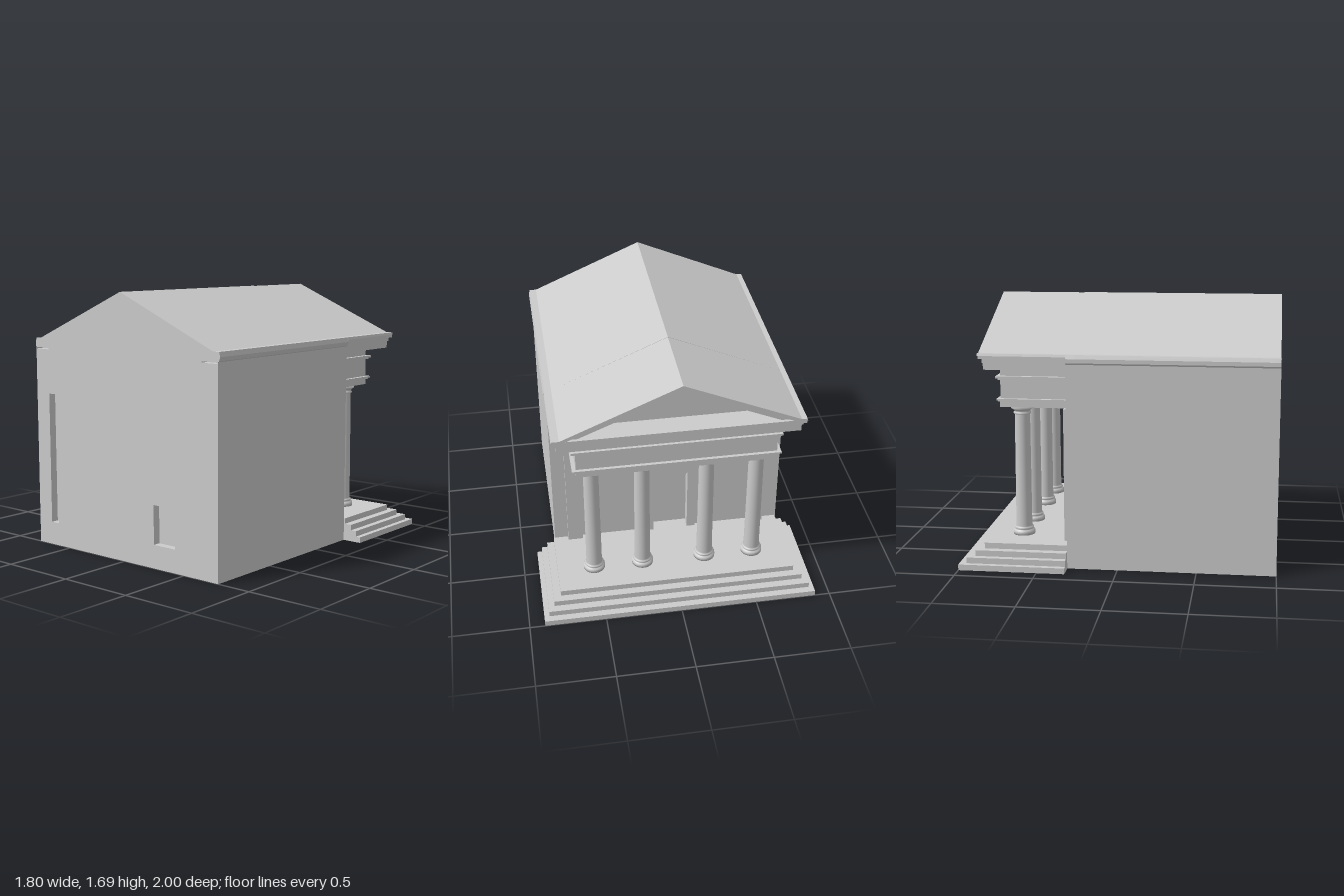
import * as THREE from 'three';

const stone = new THREE.MeshStandardMaterial({ color: 0xcccccc, side: THREE.DoubleSide });

const pathOf = (points, Type = THREE.Shape) => new Type(points.map(([x, y]) => new THREE.Vector2(x, y)));
const rect = (x0, x1, y0, y1) => [[x0, y0], [x1, y0], [x1, y1], [x0, y1]];

export function createModel() {
  const model = new THREE.Group();
  model.name = 'temple';

  function add(name, geometry, parent = model) {
    const mesh = new THREE.Mesh(geometry, stone);
    mesh.name = name;
    parent.add(mesh);
    return mesh;
  }
  // Box given by its limits
  function box(name, x0, x1, y0, y1, z0, z1, parent) {
    const mesh = add(name, new THREE.BoxGeometry(x1 - x0, y1 - y0, z1 - z0), parent);
    mesh.position.set((x0 + x1) / 2, (y0 + y1) / 2, (z0 + z1) / 2);
    return mesh;
  }
  // Outline in x and y, extruded from z0 to z1
  function slab(name, outline, z0, z1, holes = []) {
    const shape = pathOf(outline);
    holes.forEach((h) => shape.holes.push(pathOf(h, THREE.Path)));
    const geometry = new THREE.ExtrudeGeometry(shape, { depth: z1 - z0, bevelEnabled: false });
    geometry.translate(0, 0, z0);
    return add(name, geometry);
  }

  // Hall: gabled section with eaves moulding, recessed openings at both ends
  const section = [
    [-0.785, 0], [0.77, 0], [0.77, 1.31], [0.777, 1.315], [0.786, 1.34], [0.778, 1.37], [0.733, 1.37],
    [-0.01, 1.69], [-0.745, 1.37], [-0.78, 1.37], [-0.79, 1.345], [-0.79, 1.32], [-0.785, 1.31],
  ];
  const doorX = -0.03;
  slab('hall', section, -0.26, 0.95);
  slab('rearWall', section, 0.95, 1, [
    rect(-0.67, -0.605, 0.15, 1.01),
    rect(0.255, 0.43, 0.15, 0.4),
    rect(-0.78, -0.67, 1.3, 1.31),
    rect(0.645, 0.765, 1.3, 1.308),
  ]);
  slab('porchWall', section, -0.32, -0.26, [rect(doorX - 0.12, doorX + 0.12, 0.15, 0.62)]);

  // Steps of the porch
  const steps = [[0.9, -1], [0.867, -0.955], [0.828, -0.905], [0.78, -0.855]];
  steps.forEach(([half, front], i) =>
    box('step', -half, half, i * 0.0375, (i + 1) * 0.0375, front, -0.32));

  // Columns with turned base and capital
  const columnProfile = [
    [0, 0.15], [0.07, 0.15], [0.071, 0.165], [0.07, 0.178], [0.06, 0.182], [0.06, 0.188],
    [0.064, 0.194], [0.06, 0.202], [0.052, 0.207], [0.049, 0.95], [0.056, 0.953], [0.056, 0.962],
    [0.05, 0.966], [0.052, 0.974], [0.064, 0.984], [0.071, 0.988], [0.071, 1.01], [0, 1.01],
  ].map(([r, y]) => new THREE.Vector2(r, y));
  const columnGeometry = new THREE.LatheGeometry(columnProfile, 32);
  for (const x of [-0.535, -0.21, 0.21, 0.535]) add('column', columnGeometry).position.set(x, 0, -0.647);

  // Corner pilasters
  for (const side of [-1, 1]) {
    const x = side * 0.63;
    box('pilaster', x - 0.05, x + 0.05, 0.15, 1.01, -0.355, -0.32);
  }

  // Entablature: stacked bands, [half width, bottom, top, front]
  const bands = [
    [0.635, 1.008, 1.045, -0.77], [0.65, 1.045, 1.053, -0.778], [0.66, 1.053, 1.065, -0.786],
    [0.635, 1.065, 1.185, -0.765], [0.65, 1.185, 1.195, -0.778], [0.662, 1.195, 1.21, -0.79],
    [0.635, 1.21, 1.265, -0.765],
    [0.755, 1.265, 1.31, -0.845], [0.765, 1.31, 1.335, -0.85], [0.78, 1.335, 1.36, -0.87],
  ];
  bands.forEach(([half, y0, y1, front]) => box('entablatureBand', -half, half, y0, y1, front, -0.32));

  // Pediment: roof body, then two receding raking mouldings round a sunk panel
  const gable = [[-0.785, 1.355], [0.783, 1.355], [0.778, 1.37], [0.733, 1.37], [-0.01, 1.688], [-0.745, 1.37], [-0.78, 1.37]];
  const triangle = (half, apex) => [[-half, 1.36], [half, 1.36], [-0.005, apex]];
  slab('pedimentPanel', gable, -0.72, -0.32);
  const raking = (drop) => [
    [-0.785, 1.355], [-0.785 + drop * 2.3, 1.355], [-0.01, 1.688 - drop], [0.783 - drop * 2.3, 1.355],
    ...gable.slice(1),
  ];
  slab('rakingFascia', raking(0.065), -0.85, -0.72);
  slab('rakingMoulding', raking(0.03), -0.875, -0.85);

  // Doorway surround and hood
  const door = new THREE.Group();
  door.name = 'doorway';
  door.position.x = doorX;
  model.add(door);
  for (const side of [-1, 1]) {
    const x = side * 0.145;
    box('jamb', x - 0.028, x + 0.028, 0.15, 0.62, -0.34, -0.3, door);
    box('bracket', side * 0.185 - 0.015, side * 0.185 + 0.015, 0.63, 0.72, -0.345, -0.32, door);
  }
  box('lintel', -0.175, 0.175, 0.62, 0.675, -0.34, -0.3, door);
  box('doorFrieze', -0.16, 0.16, 0.675, 0.72, -0.332, -0.32, door);
  box('hoodLower', -0.205, 0.205, 0.72, 0.742, -0.35, -0.32, door);
  box('hoodUpper', -0.225, 0.225, 0.742, 0.77, -0.36, -0.32, door);

  return model;
}
